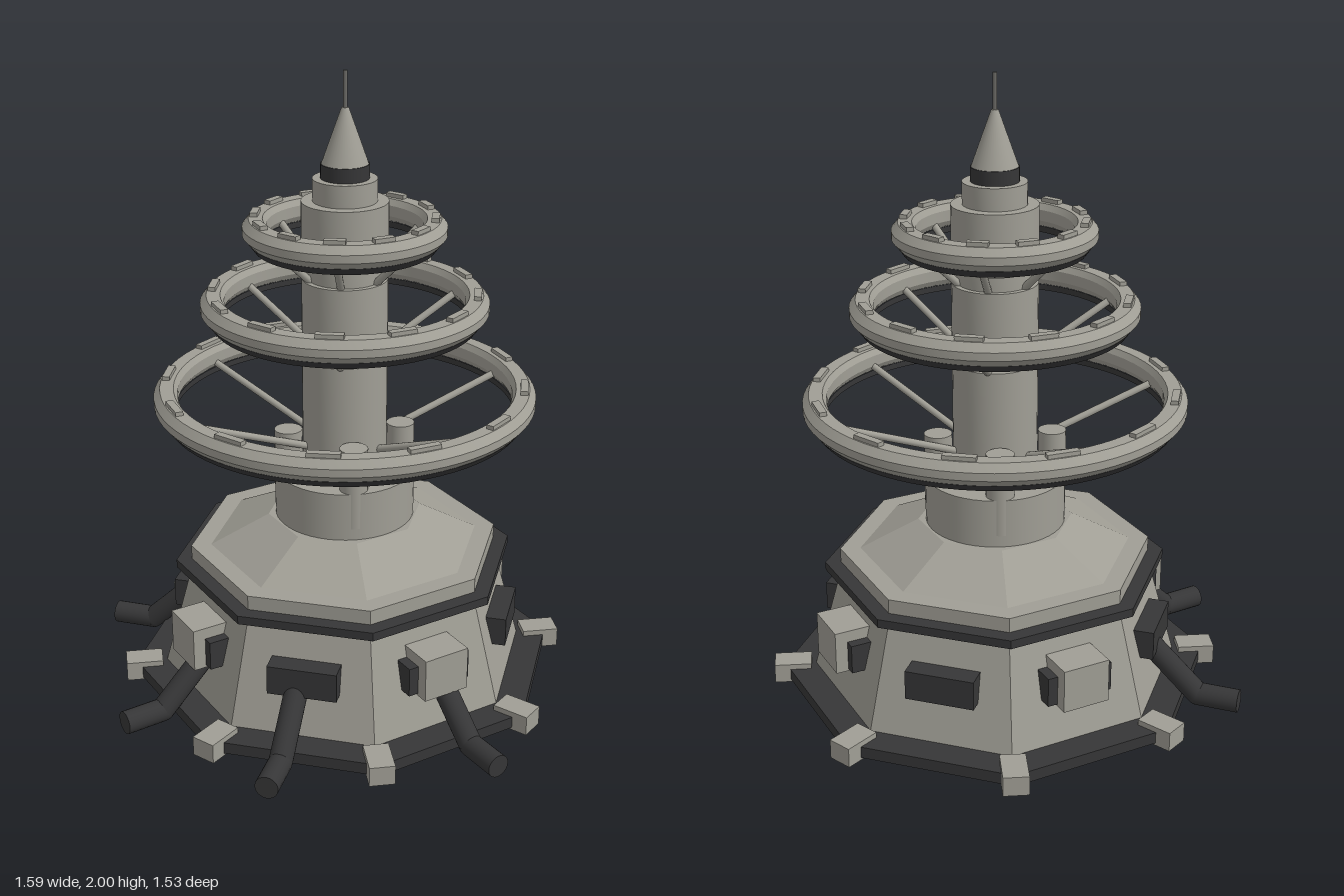
import * as THREE from 'three';
import { toCreasedNormals } from 'three/addons/utils/BufferGeometryUtils.js';

const paint = (name, color) => {
  const m = new THREE.MeshStandardMaterial({ color });
  m.name = name;
  return m;
};

export function createModel() {
  const grey = paint('warm grey', 0xa09e95);
  const dark = paint('charcoal', 0x363637);
  const steel = paint('steel', 0x6c6b67);

  const model = new THREE.Group();
  model.name = 'tower';
  const axis = new THREE.Group();
  axis.name = 'towerAxis';
  axis.position.z = -0.033;
  model.add(axis);

  const add = (name, geo, mat, parent = axis) => {
    const m = new THREE.Mesh(geo, mat);
    m.name = name;
    parent.add(m);
    return m;
  };
  // Upright frustum from y0 to y1; eight sides gives flat facets
  const drum = (name, r0, r1, y0, y1, mat, sides = 40) => {
    let g = new THREE.CylinderGeometry(r1, r0, y1 - y0, sides);
    if (sides === 8) g = toCreasedNormals(g, 0.3);
    g.translate(0, (y0 + y1) / 2, 0);
    return add(name, g, mat);
  };
  // Round bar between two points
  const rod = (name, a, b, r, mat, sides = 10) => {
    const d = b.clone().sub(a);
    const m = add(name, new THREE.CylinderGeometry(r, r, d.length(), sides), mat);
    m.position.copy(a).addScaledVector(d, 0.5);
    m.quaternion.setFromUnitVectors(new THREE.Vector3(0, 1, 0), d.normalize());
    return m;
  };
  // Point at a bearing from the front, distance r and height y
  const polar = (a, r, y) => new THREE.Vector3(Math.sin(a) * r, y, Math.cos(a) * r);
  const block = (name, w, h, d, a, r, y, mat) => {
    const m = add(name, new THREE.BoxGeometry(w, h, d), mat);
    m.position.copy(polar(a, r, y));
    m.rotation.y = a;
    return m;
  };
  const lathe = (name, pts, mat, seg = 64) =>
    add(name, toCreasedNormals(new THREE.LatheGeometry(pts.map(p => new THREE.Vector2(...p)), seg), 0.4), mat);

  // Octagonal base
  drum('basePlate', 0.7, 0.7, 0.008, 0.046, dark, 8);
  drum('baseBody', 0.6, 0.505, 0.046, 0.39, grey, 8);
  drum('baseCollar', 0.555, 0.555, 0.39, 0.418, dark, 8);
  drum('baseLip', 0.505, 0.505, 0.418, 0.465, grey, 8);
  drum('baseRoof', 0.44, 0.25, 0.465, 0.562, grey, 8);

  for (let i = 0; i < 8; i++) {
    const corner = i * Math.PI / 4;
    block('foot', 0.08, 0.064, 0.12, corner, 0.675, 0.032, grey);
    const face = corner + Math.PI / 8;
    block('wallPanel', 0.22, 0.095, 0.11, face, 0.505, 0.235, dark);
    // Every other wall carries an equipment box
    if (i % 2 === 1) block('equipmentBox', 0.155, 0.14, 0.14, face, 0.53, 0.25, grey);
  }

  // Bent outlet pipes around the front
  for (const deg of [-70, -20, 20, 70]) {
    const a = deg * Math.PI / 180;
    const [p, q, r] = [polar(a, 0.49, 0.235), polar(a, 0.695, 0.042), polar(a, 0.83, 0.042)];
    rod('pipeSlope', p, q, 0.037, dark, 20);
    rod('pipeOutlet', q, r, 0.037, dark, 20);
    add('pipeElbow', new THREE.SphereGeometry(0.037, 20, 12), dark).position.copy(q);
  }

  // Drum and the four tanks standing on it
  drum('lowerDrum', 0.225, 0.225, 0.56, 0.72, grey, 48);
  for (let i = 0; i < 4; i++) {
    const a = Math.PI / 4 + i * Math.PI / 2;
    rod('tank', polar(a, 0.182, 0.6), polar(a, 0.182, 0.86), 0.045, grey, 20);
  }

  // Stepped central column
  lathe('column', [
    [0.135, 0.7], [0.135, 1.105], [0.118, 1.105], [0.118, 1.16], [0.135, 1.16],
    [0.135, 1.36], [0.118, 1.36], [0.118, 1.41], [0.135, 1.41],
    [0.135, 1.605], [0.1, 1.605], [0.1, 1.675], [0, 1.675],
  ], grey, 40);

  // Spire
  drum('spireBand', 0.075, 0.075, 1.675, 1.72, dark);
  drum('spireCone', 0.072, 0.011, 1.72, 1.89, grey);
  drum('antenna', 0.007, 0.007, 1.885, 2, steel, 10);

  // Three ring decks: outer and inner radius, underside height, strut foot radius and height
  const rings = [
    { out: 0.605, inn: 0.53, y: 0.935, foot: [0.125, 0.81], tab: 0.1 },
    { out: 0.45, inn: 0.375, y: 1.238, foot: [0.115, 1.1], tab: 0.085 },
    { out: 0.315, inn: 0.24, y: 1.478, foot: [0.11, 1.355], tab: 0.065 },
  ];
  for (const { out, inn, y, foot, tab } of rings) {
    lathe('ringDeck', [
      [inn + 0.012, y], [out - 0.022, y], [out, y + 0.025], [out, y + 0.05], [out - 0.02, y + 0.074],
      [inn + 0.012, y + 0.074], [inn, y + 0.055], [inn, y + 0.02], [inn + 0.012, y],
    ], grey, 72);
    lathe('ringUnderside', [
      [inn + 0.01, y], [inn + 0.01, y - 0.02], [out - 0.035, y - 0.02], [out - 0.018, y + 0.003], [inn + 0.01, y + 0.003],
    ], dark, 72);
    for (let i = 0; i < 12; i++)
      block('ringTab', tab, 0.02, 0.024, i * Math.PI / 6, (out + inn) / 2, y + 0.077, grey);
    for (let i = 0; i < 6; i++) {
      const a = Math.PI / 2 + i * Math.PI / 3;
      rod('ringStrut', polar(a, ...foot), polar(a, inn + 0.015, y + 0.02), 0.012, grey);
    }
  }
  return model;
}
